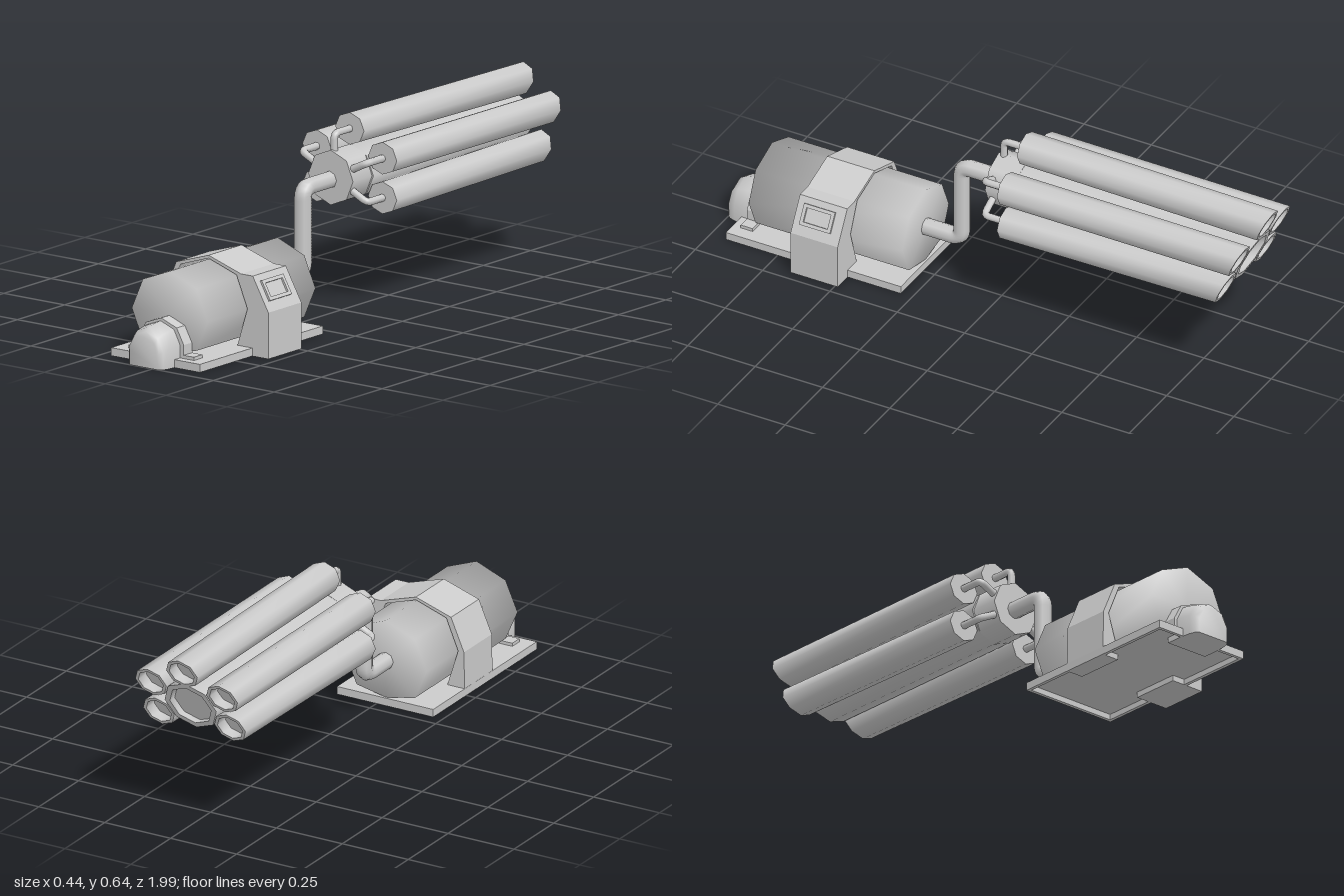
import * as THREE from 'three';
import { toCreasedNormals } from 'three/addons/utils/BufferGeometryUtils.js';

const material = new THREE.MeshStandardMaterial({ color: 0xcccccc, side: THREE.DoubleSide });
const V2 = (x, y) => new THREE.Vector2(x, y);
const V3 = (x, y, z) => new THREE.Vector3(x, y, z);
const CX = -0.03; // axis of the motor and pipe

function add(parent, name, geometry, x = 0, y = 0, z = 0) {
  const mesh = new THREE.Mesh(geometry, material);
  mesh.name = name;
  mesh.position.set(x, y, z);
  parent.add(mesh);
  return mesh;
}

// Moves every vertex by a rule
function warp(geometry, rule) {
  const p = geometry.attributes.position;
  const v = new THREE.Vector3();
  for (let i = 0; i < p.count; i++) {
    rule(v.fromBufferAttribute(p, i));
    p.setXYZ(i, v.x, v.y, v.z);
  }
  return geometry;
}

// Flat outline given as [x, y] pairs, with an optional hole, pushed out along z
function plate(outline, depth, hole) {
  const shape = new THREE.Shape(outline.map(([x, y]) => V2(x, y)));
  if (hole) shape.holes.push(new THREE.Path(hole.map(([x, y]) => V2(x, y))));
  return new THREE.ExtrudeGeometry(shape, { depth, bevelEnabled: false });
}

const rect = (w, h) => [[-w / 2, -h / 2], [w / 2, -h / 2], [w / 2, h / 2], [-w / 2, h / 2]];

// Round pipe through corner points with eased bends
function pipe(points, radius, bend, steps) {
  const path = new THREE.CurvePath();
  let from = points[0];
  for (let i = 1; i < points.length - 1; i++) {
    const c = points[i];
    const a = c.clone().add(points[i - 1].clone().sub(c).setLength(bend));
    const b = c.clone().add(points[i + 1].clone().sub(c).setLength(bend));
    path.add(new THREE.LineCurve3(from, a));
    path.add(new THREE.QuadraticBezierCurve3(a, c, b));
    from = b;
  }
  path.add(new THREE.LineCurve3(from, points[points.length - 1]));
  return new THREE.TubeGeometry(path, steps, radius, 8, false);
}

// Eight-sided barrel with a slanted, recessed far end
function barrel(cx, cy, rx, ry, tilt, recess) {
  const start = -0.075;
  const wall = 0.8;
  const g = new THREE.LatheGeometry(
    [V2(0, 0), V2(1, 0), V2(1, 1), V2(wall, 1), V2(wall, 1 - recess), V2(0, 1 - recess)], 8);
  g.rotateX(-Math.PI / 2);
  warp(g, (v) => {
    const far = v.z < -0.5;
    const inset = far ? v.z + 1 : 0;
    v.x = cx + v.x * rx;
    v.y = cy + v.y * ry + (far ? tilt : 0);
    v.z = far ? -0.995 + (0.632 - v.y) * 0.417 + inset : start;
  });
  return toCreasedNormals(g, 1);
}

// Skin over arch-shaped sections [z, halfWidth, height], closed at both ends
function archLoft(sections, cx) {
  const arch = [[1, 0], [1, 0.5], [0.68, 0.85], [0, 1], [-0.68, 0.85], [-1, 0.5], [-1, 0]];
  const n = arch.length;
  const pos = [];
  const index = [];
  sections.forEach(([z, w, h], s) => {
    arch.forEach(([x, y]) => pos.push(cx + x * w, y * h, z));
    if (s === 0) return;
    for (let i = 0; i < n; i++) {
      const j = (i + 1) % n;
      const a = (s - 1) * n;
      const b = s * n;
      index.push(a + i, a + j, b + i, a + j, b + j, b + i);
    }
  });
  const last = (sections.length - 1) * n;
  for (let i = 1; i < n - 1; i++) {
    index.push(0, i + 1, i, last, last + i, last + i + 1);
  }
  // Sections run towards +z, so the side faces are turned outwards here
  for (let k = 0; k < (sections.length - 1) * n * 6; k += 3) {
    const a = V3(...pos.slice(index[k] * 3, index[k] * 3 + 3));
    const b = V3(...pos.slice(index[k + 1] * 3, index[k + 1] * 3 + 3));
    const c = V3(...pos.slice(index[k + 2] * 3, index[k + 2] * 3 + 3));
    const normal = b.clone().sub(a).cross(c.clone().sub(a));
    if (normal.dot(a.sub(V3(cx, 0.05, a.z))) < 0) {
      [index[k + 1], index[k + 2]] = [index[k + 2], index[k + 1]];
    }
  }
  const g = new THREE.BufferGeometry();
  g.setAttribute('position', new THREE.Float32BufferAttribute(pos, 3));
  g.setIndex(index);
  return toCreasedNormals(g, 1);
}

export function createModel() {
  const model = new THREE.Group();
  model.name = 'engineWithBarrels';

  // Base: a shallow tray, open underneath
  const base = new THREE.Group();
  base.name = 'base';
  model.add(base);
  add(base, 'baseTop', new THREE.BoxGeometry(0.365, 0.008, 0.65), -0.0325, 0.023, 0.617);
  add(base, 'baseRim', plate(rect(0.365, 0.65), 0.019, rect(0.341, 0.626)).rotateX(-Math.PI / 2),
    -0.0325, 0, 0.617);

  // Motor drum: eight sides, soft shading over the ends, flattened below
  const drum = new THREE.LatheGeometry([V2(0, 0), V2(1, 0), V2(1, 0.57), V2(0, 0.57)], 8);
  drum.rotateX(-Math.PI / 2);
  warp(drum, (v) => v.set(CX + v.x * 0.156, Math.max(0.026, 0.151 + v.y * 0.146), 0.87 + v.z));
  add(model, 'motorDrum', drum);

  // Band around the drum, with a control housing on the left
  add(model, 'band', plate([
    [-0.215, 0], [-0.15, 0], [-0.15, 0.03], [-0.19, 0.155], [-0.145, 0.262], [CX, 0.3],
    [0.085, 0.262], [0.13, 0.155], [0.09, 0.03], [0.09, 0],
    [0.216, 0], [0.216, 0.155], [0.152, 0.268], [0.103, 0.268], [CX, 0.31],
    [-0.163, 0.268], [-0.212, 0.155],
  ], 0.175), 0, 0, 0.49);

  // Raised frame on the sloping face of the housing
  const panel = add(model, 'controlPanelFrame',
    plate(rect(0.115, 0.072), 0.007, rect(0.09, 0.048)).rotateY(Math.PI / 2), 0.181, 0.217, 0.583);
  panel.rotation.z = 0.515;

  // Front collar with feet, and the rounded nose inside it
  const half = [[0.135, 0.026], [0.135, 0.038], [0.093, 0.038], [0.093, 0.072], [0.064, 0.125]];
  add(model, 'collar', plate([
    ...half.map(([x, y]) => [CX - 0.002 + x, y]), [CX - 0.002, 0.149],
    ...half.map(([x, y]) => [CX - 0.002 - x, y]).reverse(),
  ], 0.045), 0, 0, 0.868);
  add(model, 'nose', archLoft([
    [0.87, 0.08, 0.142], [0.93, 0.08, 0.138], [0.97, 0.076, 0.13],
    [0.99, 0.07, 0.118], [1.0, 0.06, 0.1],
  ], -0.034));

  // Pipe rising from the drum to the hub
  add(model, 'feedPipe', pipe([
    V3(CX, 0.156, 0.32), V3(CX, 0.156, 0.165), V3(CX, 0.436, 0.165), V3(CX, 0.436, 0),
  ], 0.029, 0.035, 60));

  // Hub and large central barrel
  const hx = -0.025;
  const hy = 0.444;
  const hub = new THREE.CylinderGeometry(0.092, 0.092, 0.105, 8).rotateX(Math.PI / 2);
  add(model, 'hub', hub, hx, hy, -0.027);
  add(model, 'centralBarrel', barrel(hx, hy, 0.098, 0.09, 0, 0.03));

  // Five outer barrels, each fed by a bent spoke: [x, y, end tilt]
  const barrels = [
    [0, 0.588, -0.012],
    ...[-0.135, 0.135].flatMap((x) => [[x, 0.509, -0.003], [x, 0.377, 0.009]]),
  ];
  for (const [dx, y, tilt] of barrels) {
    const x = hx + dx;
    add(model, 'outerBarrel', barrel(x, y, 0.059, 0.054, tilt, 0.05));
    const root = V3(hx + dx * 0.45, hy + (y - hy) * 0.45, 0.006);
    add(model, 'spokePipe', pipe([root, V3(x, y, 0.006), V3(x, y, -0.09)], 0.0125, 0.02, 20));
  }

  return model;
}
